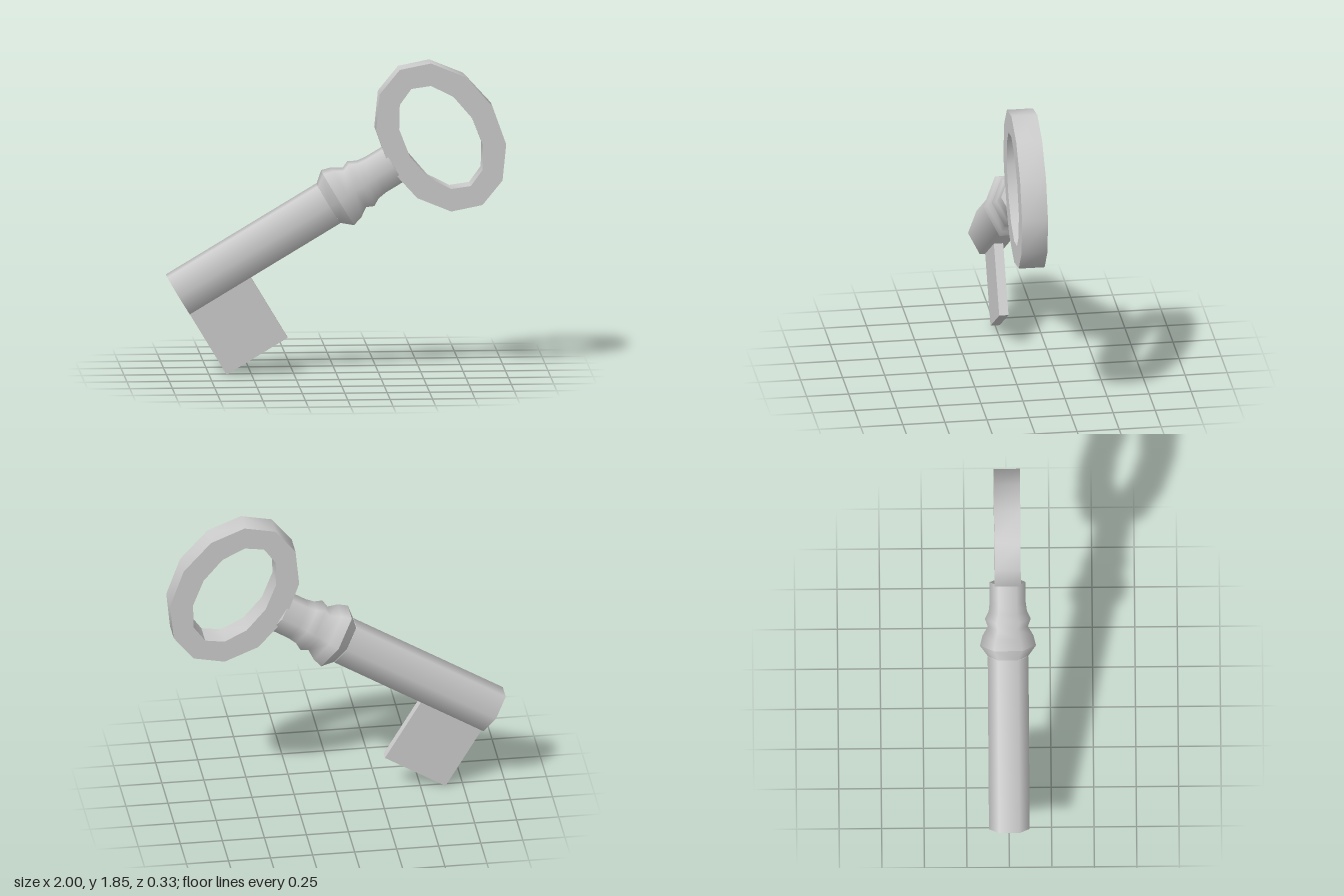
import * as THREE from 'three';
import { toCreasedNormals } from 'three/addons/utils/BufferGeometryUtils.js';

const TILT = THREE.MathUtils.degToRad(31);

export function createModel() {
  const material = new THREE.MeshStandardMaterial({ color: 0xcccccc });
  const model = new THREE.Group();
  model.name = 'key';

  // The key lies along local +x, starting at the tip of the shaft
  const key = new THREE.Group();
  key.name = 'tiltedKey';
  key.position.set(-0.933, 0.48, 0);
  key.rotation.z = TILT;
  model.add(key);

  const add = (name, geometry) => {
    const mesh = new THREE.Mesh(geometry, material);
    mesh.name = name;
    key.add(mesh);
    return mesh;
  };

  // Six-sided turned part along x from [position, radius] pairs, a little taller than deep
  const turned = (name, profile) => {
    const points = profile.map(([s, r]) => new THREE.Vector2(r, s));
    const geometry = new THREE.LatheGeometry(points, 6);
    geometry.rotateZ(-Math.PI / 2);
    geometry.scale(1, 1.24, 1);
    return add(name, geometry);
  };

  // Shaft with its flat tip
  turned('shaftTip', [[0, 0], [0, 0.12]]);
  turned('shaft', [[0, 0.12], [1.035, 0.12]]);

  // Flared collar, then the stepped neck leading into the bow
  turned('collarFlare', [[1.035, 0.117], [1.1, 0.165]]);
  turned('neck', [
    [1.1, 0.165], [1.16, 0.15], [1.215, 0.118], [1.26, 0.135],
    [1.305, 0.113], [1.36, 0.106], [1.48, 0.106],
  ]);
  turned('neckEnd', [[1.48, 0.106], [1.48, 0]]);

  // Oval ring handle with twelve sides
  const oval = (a, b) => Array.from({ length: 12 }, (_, i) => {
    const t = (i / 12) * Math.PI * 2;
    return new THREE.Vector2(a * Math.cos(t), b * Math.sin(t));
  });
  const ring = new THREE.Shape(oval(0.353, 0.473));
  ring.holes.push(new THREE.Path(oval(0.215, 0.34).reverse()));
  const bow = new THREE.ExtrudeGeometry(ring, { depth: 0.154, bevelEnabled: false });
  bow.translate(0, 0, -0.077);
  add('bow', toCreasedNormals(bow, 0.7)).position.x = 1.806;

  // Plain rectangular bit below the tip
  const bit = add('bit', new THREE.BoxGeometry(0.42, 0.46, 0.055));
  bit.position.set(0.21, -0.327, 0);

  return model;
}
